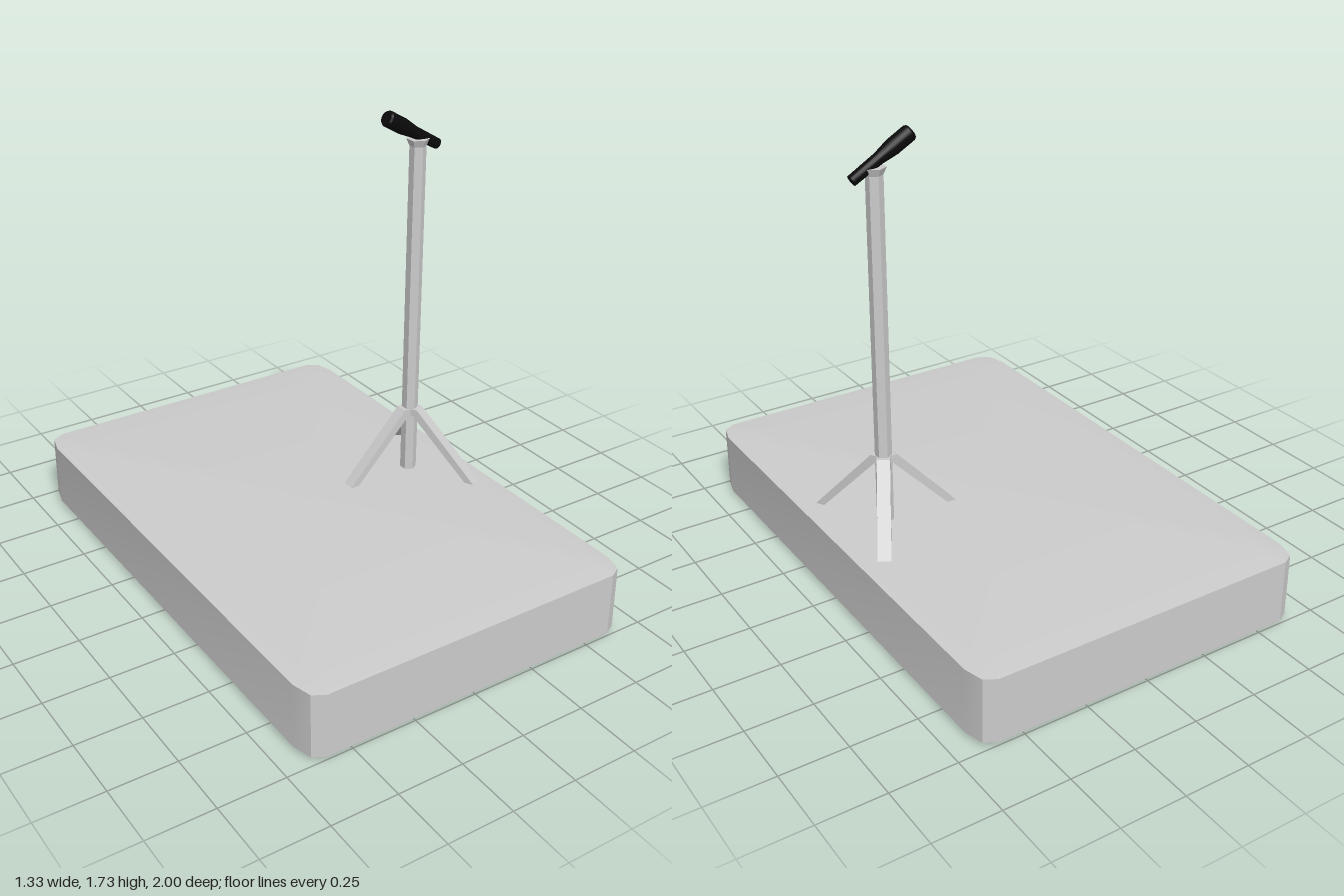
import * as THREE from 'three';
import { toCreasedNormals } from 'three/addons/utils/BufferGeometryUtils.js';

const POLE_X = 0.44;

// Slab with chamfered corners and softly sloped rims, lofted from scaled outlines
function slabGeometry() {
  const quarter = [[0.665, 0.9], [0.645, 0.975], [0.6, 1]];
  const outline = [
    ...quarter,
    ...quarter.map(([x, z]) => [-x, z]).reverse(),
    ...quarter.map(([x, z]) => [-x, -z]),
    ...quarter.map(([x, z]) => [x, -z]).reverse(),
  ];
  const rings = [[0, 0], [0.9, 0], [1, 0.012], [1, 0.258], [0.9, 0.268], [0, 0.268]];
  const n = outline.length;
  const positions = [], index = [];
  for (const [s, y] of rings) for (const [x, z] of outline) positions.push(x * s, y, z * s);
  for (let r = 0; r < rings.length - 1; r++) {
    for (let i = 0; i < n; i++) {
      const a = r * n + i, b = r * n + (i + 1) % n;
      if (r > 0) index.push(a, a + n, b);
      if (r < rings.length - 2) index.push(b, a + n, b + n);
    }
  }
  // Close the underside fan
  for (let i = 0; i < n; i++) index.push(i, n + i, n + (i + 1) % n);
  const g = new THREE.BufferGeometry();
  g.setAttribute('position', new THREE.Float32BufferAttribute(positions, 3));
  g.setIndex(index);
  return toCreasedNormals(g, 0.4);
}

export function createModel() {
  const model = new THREE.Group();
  const grey = new THREE.MeshStandardMaterial({ color: 0xcccccc });
  const flatGrey = new THREE.MeshStandardMaterial({ color: 0xcccccc, flatShading: true });
  const black = new THREE.MeshStandardMaterial({ color: 0x0a0a0a });

  const add = (name, geometry, material, parent = model) => {
    const mesh = new THREE.Mesh(geometry, material);
    mesh.name = name;
    parent.add(mesh);
    return mesh;
  };

  add('platform', slabGeometry(), grey);

  const stand = new THREE.Group();
  stand.name = 'stand';
  stand.position.x = POLE_X;
  model.add(stand);

  // Hexagonal pole with a flared holder on top
  add('pole', new THREE.CylinderGeometry(0.031, 0.031, 1.34, 6), flatGrey, stand).position.y = 0.93;
  add('holder', new THREE.CylinderGeometry(0.043, 0.027, 0.035, 6), flatGrey, stand).position.y = 1.595;

  // Three bent legs, one pointing towards -x
  const legShape = new THREE.Shape([
    [0, 0.535], [0.04, 0.535], [0.29, 0.264], [0.255, 0.264], [0.025, 0.505], [0, 0.505],
  ].map(([x, y]) => new THREE.Vector2(x, y)));
  const legGeometry = new THREE.ExtrudeGeometry(legShape, { depth: 0.048, bevelEnabled: false });
  legGeometry.translate(0, 0, -0.024);
  for (let i = 0; i < 3; i++) {
    add('leg' + (i + 1), legGeometry, flatGrey, stand).rotation.y = Math.PI + i * Math.PI * 2 / 3;
  }

  // Tilted microphone: tapered handle running up into a wider head
  const profile = [
    [0, 0], [0.02, 0], [0.022, 0.12], [0.03, 0.18], [0.03, 0.255], [0.026, 0.262], [0, 0.262],
  ].map(([r, y]) => new THREE.Vector2(r, y));
  const mic = add('microphone', toCreasedNormals(new THREE.LatheGeometry(profile, 24), 0.5), black);
  mic.position.set(0.525, 1.578, 0);
  mic.rotation.z = Math.PI / 3;

  return model;
}
